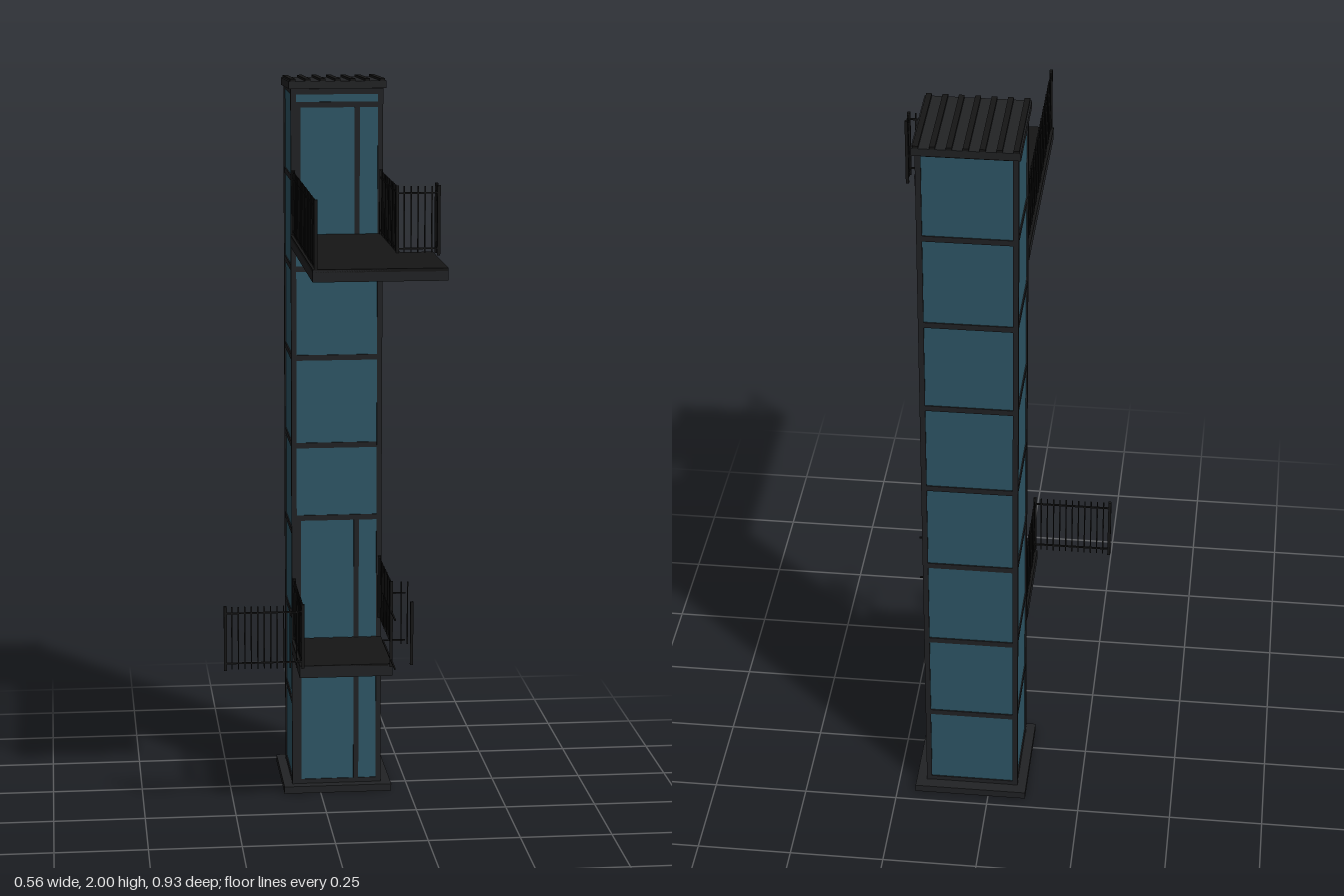
import * as THREE from 'three';

const steel = new THREE.MeshStandardMaterial({ color: 0x222325 });
const dark = new THREE.MeshStandardMaterial({ color: 0x161616 });
const glass = new THREE.MeshStandardMaterial({ color: 0x2f5868 });

// Box given by its limits on each axis
function slab(parent, name, [x0, x1], [y0, y1], [z0, z1], material = steel) {
  const mesh = new THREE.Mesh(new THREE.BoxGeometry(x1 - x0, y1 - y0, z1 - z0), material);
  mesh.position.set((x0 + x1) / 2, (y0 + y1) / 2, (z0 + z1) / 2);
  mesh.name = name;
  parent.add(mesh);
  return mesh;
}

// Square rod between two axis-aligned points
function rod(parent, name, a, b, t) {
  const lim = [0, 1, 2].map(i => [Math.min(a[i], b[i]) - t / 2, Math.max(a[i], b[i]) + t / 2]);
  return slab(parent, name, ...lim, dark);
}

// Railing along a path of [x, z] corners, with optional horizontal rails
function railing(parent, name, path, y0, y1, withRails = true) {
  const g = new THREE.Group();
  g.name = name;
  for (let i = 0; i + 1 < path.length; i++) {
    const [ax, az] = path[i], [bx, bz] = path[i + 1];
    const n = Math.max(2, Math.round(Math.hypot(bx - ax, bz - az) / 0.0172));
    for (let k = 0; k <= n; k++) {
      const x = ax + (bx - ax) * k / n, z = az + (bz - az) * k / n;
      rod(g, 'baluster', [x, y0, z], [x, y1, z], 0.0032);
    }
    if (withRails) for (const y of [y0 + 0.015, y1 - 0.016])
      rod(g, 'rail', [ax, y, az], [bx, y, bz], 0.004);
  }
  for (const [x, z] of path) rod(g, 'railPost', [x, y0, z], [x, y1, z], 0.008);
  parent.add(g);
  return g;
}

// Deck plate over an open frame with joists underneath
function platform(parent, name, shape, y0, y1, joists) {
  const g = new THREE.Group();
  g.name = name;
  const outline = new THREE.Shape(shape.map(([x, z]) => new THREE.Vector2(x, -z)));
  const deck = new THREE.Mesh(
    new THREE.ExtrudeGeometry(outline, { depth: 0.008, bevelEnabled: false }), dark);
  deck.rotation.x = -Math.PI / 2;
  deck.position.y = y1 - 0.008;
  deck.name = 'deck';
  g.add(deck);
  const t = 0.012;
  const cx = shape.reduce((s, p) => s + p[0], 0) / shape.length;
  const cz = shape.reduce((s, p) => s + p[1], 0) / shape.length;
  shape.forEach(([ax, az], i) => {
    const [bx, bz] = shape[(i + 1) % shape.length];
    const alongX = Math.abs(az - bz) < 1e-6;
    const inX = alongX ? 0 : Math.sign(cx - ax) * t, inZ = alongX ? Math.sign(cz - az) * t : 0;
    slab(g, 'edgeBeam',
      [Math.min(ax, bx, ax + inX), Math.max(ax, bx, ax + inX)], [y0, y1 - 0.002],
      [Math.min(az, bz, az + inZ), Math.max(az, bz, az + inZ)]);
  });
  for (const [x0, x1, z] of joists)
    slab(g, 'joist', [x0, x1], [y0 + 0.003, y1 - 0.008], [z - t / 2, z + t / 2]);
  parent.add(g);
}

function tower(parent) {
  const g = new THREE.Group();
  g.name = 'shaft';
  const L = -0.078, R = 0.172, B = -0.436, F = -0.196, top = 1.972, w = 0.014;
  slab(g, 'basePlate', [-0.102, 0.2], [0, 0.02], [-0.466, -0.17]);
  slab(g, 'glazing', [L + 0.004, R - 0.004], [0.02, top], [B + 0.004, F - 0.004], glass);
  for (const x of [L, R - w]) for (const z of [B, F - w])
    slab(g, 'cornerPost', [x, x + w], [0.02, top], [z, z + w]);

  // Cross bars on the sides and the back
  const h = 0.0075;
  for (let i = 0; i <= 8; i++) {
    const y = Math.min(Math.max(0.012 + i * 0.2457, 0.025), 1.965);
    for (const x of [L, R - w]) slab(g, 'sideBar', [x + 0.001, x + w - 0.001], [y - h, y + h], [B, F]);
    slab(g, 'backBar', [L, R], [y - h, y + h], [B + 0.001, B + w]);
  }

  // Front bars between the doors
  for (const y of [0.025, 0.79, 0.995, 1.24, 1.485, 1.93, 1.965])
    slab(g, 'frontBar', [L, R], [y - h, y + h], [F - w, F - 0.001]);
  slab(g, 'frontSill', [L, R], [0.36, 0.445], [F - w, F]);

  // Three landing doors, each with a wide jamb and a stile
  for (const [y0, y1] of [[0.02, 0.36], [0.445, 0.79], [1.575, 1.93]]) {
    slab(g, 'doorJamb', [L, -0.052], [y0, y1], [F - w, F - 0.001]);
    slab(g, 'doorStile', [0.095, 0.109], [y0, y1], [F - w, F - 0.001]);
  }
  parent.add(g);
}

function roof(parent) {
  const g = new THREE.Group();
  g.name = 'roof';
  slab(g, 'roofSheet', [-0.132, 0.132], [-0.012, 0.008], [-0.13, 0.13]);
  // Raised ribs run from front to back
  for (let i = 0; i < 7; i++) {
    const x = -0.121 + i * 0.0403;
    slab(g, 'roofRib', [x - 0.007, x + 0.007], [0.008, 0.0145], [-0.13, 0.13], dark);
  }
  g.position.set(0.048, 1.981, -0.317);
  g.rotation.x = -0.035;
  parent.add(g);
}

export function createModel() {
  const model = new THREE.Group();
  model.name = 'liftTower';
  tower(model);
  roof(model);

  // Upper landing: L-shaped deck
  platform(model, 'upperLanding',
    [[-0.08, 0.465], [0.26, 0.465], [0.26, 0.17], [0.175, 0.17], [0.175, -0.195], [-0.08, -0.195]],
    1.548, 1.58, [[-0.07, 0.165, -0.07], [-0.07, 0.165, 0.05], [-0.07, 0.25, 0.175], [-0.07, 0.25, 0.32]]);
  railing(model, 'upperLeftRailing', [[-0.072, 0.461], [-0.072, -0.19]], 1.575, 1.75);
  railing(model, 'upperRightRailing',
    [[0.166, -0.19], [0.166, 0.179], [0.274, 0.179], [0.274, 0.131]], 1.575, 1.75);

  // Lower landing
  platform(model, 'lowerLanding',
    [[-0.08, 0.077], [0.172, 0.077], [0.172, -0.195], [-0.08, -0.195]],
    0.411, 0.445, [[-0.07, 0.165, -0.06]]);
  railing(model, 'lowerLeftRailing', [[-0.281, 0.085], [-0.072, 0.085], [-0.072, -0.19]], 0.445, 0.615);

  // Lower right railing: raised balusters with separate rails
  const right = railing(model, 'lowerRightRailing',
    [[0.166, -0.19], [0.166, 0.09]], 0.505, 0.675, false);
  for (const x of [0.193, 0.21]) rod(right, 'baluster', [x, 0.505, 0.09], [x, 0.675, 0.09], 0.0032);
  rod(right, 'railPost', [0.166, 0.445, 0.09], [0.166, 0.675, 0.09], 0.008);
  rod(right, 'railPost', [0.223, 0.446, 0.08], [0.223, 0.614, 0.08], 0.008);
  for (const y of [0.46, 0.595]) {
    rod(right, 'rail', [0.166, y, -0.102], [0.166, y, 0.178], 0.004);
    rod(right, 'rail', [0.166, y, -0.102], [0.226, y, -0.102], 0.004);
  }
  return model;
}
